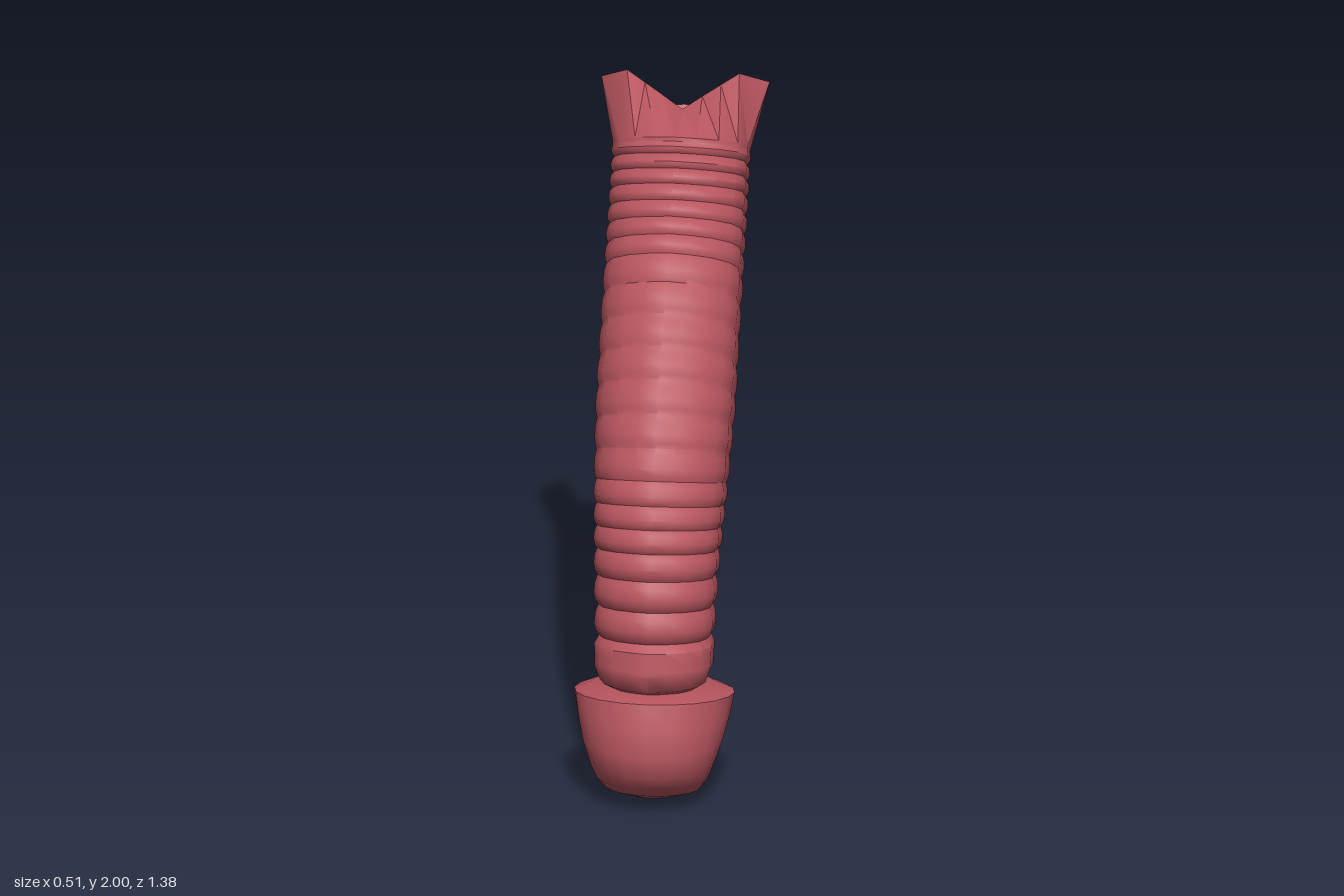
import * as THREE from 'three';
import { toCreasedNormals } from 'three/addons/utils/BufferGeometryUtils.js';

const rose = new THREE.MeshStandardMaterial({ color: 0xb8555f, side: THREE.DoubleSide });
rose.name = 'rose';

// Skin a stack of equal-length rings; optional fan caps at both ends.
function loft(name, rings, { closed = true, bottom = false, top = false, crease = 0.8 } = {}) {
  const n = rings[0].length, verts = rings.flat(), index = [];
  const span = closed ? n : n - 1;
  for (let i = 0; i < rings.length - 1; i++) {
    for (let j = 0; j < span; j++) {
      const k = (j + 1) % n, a = i * n + j, b = i * n + k;
      index.push(a, b, a + n, b, b + n, a + n);
    }
  }
  const cap = (ring, start, up) => {
    const c = verts.length;
    verts.push(ring.reduce((s, p) => s.add(p), new THREE.Vector3()).divideScalar(n));
    for (let j = 0; j < n; j++) {
      const a = start + j, b = start + (j + 1) % n;
      if (up) index.push(c, a, b); else index.push(c, b, a);
    }
  };
  if (bottom) cap(rings[0], 0, false);
  if (top) cap(rings[rings.length - 1], (rings.length - 1) * n, true);
  const g = new THREE.BufferGeometry().setFromPoints(verts);
  g.setIndex(index);
  const mesh = new THREE.Mesh(toCreasedNormals(g, crease), rose);
  mesh.name = name;
  return mesh;
}

// Ring between a front and a back point (z, y); section holds [x share, front-to-back share].
const ring = (f, b, half, section) => section.map(([u, v]) => new THREE.Vector3(
  u * half, f.y + (b.y - f.y) * v, f.z + (b.z - f.z) * v));
const zy = ([z, y]) => new THREE.Vector3(0, y, z);
const curve = pts => new THREE.CatmullRomCurve3(pts.map(zy), false, 'centripetal');
const round = n => Array.from({ length: n }, (_, i) => {
  const a = i / n * Math.PI * 2;
  return [Math.sin(a), (1 - Math.cos(a)) / 2];
});
const mirror = half => [...half.slice(1).reverse().map(([x, ...r]) => [-x, ...r]), ...half];

// Ribbed half-shell along the front, flaring into two wings at the top
function makeSheath() {
  const section = mirror([[0, 0], [0.3, 0.04], [0.62, 0.12], [0.88, 0.26],
    [1, 0.44], [1, 0.75], [0.88, 0.97], [0.62, 1]]);
  const front = curve([[0.63, 0.44], [0.565, 0.77], [0.46, 1.01], [0.25, 1.32],
    [0.03, 1.59], [-0.10, 1.74], [-0.21, 1.87]]);
  const back = curve([[0.31, 0.40], [0.20, 0.68], [0.06, 0.87], [-0.10, 1.11],
    [-0.28, 1.38], [-0.42, 1.57], [-0.50, 1.72]]);
  const rings = [
    ring(zy([0.57, 0.36]), zy([0.33, 0.35]), 0.13, section),
    ring(zy([0.61, 0.385]), zy([0.32, 0.37]), 0.16, section),
  ];
  const ribs = 21;
  const profile = [[0, 1], [0.15, 0.35], [0.4, 0], [0.75, 0.3]];
  for (let r = 0; r < ribs; r++) {
    for (const [phase, dip] of profile) {
      const t = (r + phase) / ribs;
      const depth = 0.01 + 0.014 * Math.max(0, 1 - t * 2.5) + 0.008 * Math.max(0, t * 2.5 - 1.5);
      const d = r === 0 ? 0 : dip * depth;
      const f = front.getPoint(t), b = back.getPoint(t);
      f.addScaledVector(b.clone().sub(f).normalize(), d);
      const half = 0.175 + 0.032 * Math.min(1, t * 2.2);
      rings.push(ring(f, b, half - d * 0.6, section));
    }
  }
  rings.push(ring(front.getPoint(1), back.getPoint(1), 0.205, section));
  const flare = [[0, 1.89, -0.40], [0.06, 1.93, -0.41], [0.115, 1.965, -0.42], [0.17, 2.0, -0.43],
    [0.255, 1.95, -0.50], [0.235, 1.91, -0.60], [0.2, 1.87, -0.69], [0.19, 1.86, -0.675]];
  rings.push(mirror(flare).map(p => new THREE.Vector3(...p)));
  return loft('ribbedSheath', rings, { closed: false, bottom: true, crease: 0.7 });
}

// Smooth round tube running up the back
function makeTube() {
  const back = curve([[0.2, 0.29], [0.1, 0.55], [0, 0.8], [-0.28, 1.16], [-0.52, 1.5], [-0.67, 1.68]]);
  const front = curve([[0.46, 0.38], [0.36, 0.65], [0.25, 0.94], [-0.06, 1.32], [-0.30, 1.66], [-0.47, 1.88]]);
  const rings = [];
  for (let i = 0; i <= 20; i++) {
    rings.push(ring(front.getPoint(i / 20), back.getPoint(i / 20), 0.145, round(14)));
  }
  return loft('rearTube', rings, { top: true, bottom: true });
}

// Rounded foot with a wide, sharp rim
function makeFoot() {
  const rows = [
    [[0.50, 0.005], [0.40, 0], 0.06],
    [[0.575, 0.04], [0.365, 0.03], 0.145],
    [[0.64, 0.085], [0.345, 0.07], 0.17],
    [[0.675, 0.13], [0.335, 0.12], 0.187],
    [[0.69, 0.2], [0.275, 0.195], 0.213],
    [[0.67, 0.285], [0.23, 0.25], 0.232],
    [[0.645, 0.36], [0.2, 0.295], 0.243],
    [[0.60, 0.372], [0.23, 0.32], 0.19],
  ];
  return loft('foot', rows.map(([f, b, h]) => ring(zy(f), zy(b), h, round(20))),
    { top: true, bottom: true });
}

export function createModel() {
  const group = new THREE.Group();
  group.name = 'ribbedColumn';
  group.add(makeSheath(), makeTube(), makeFoot());
  return group;
}
